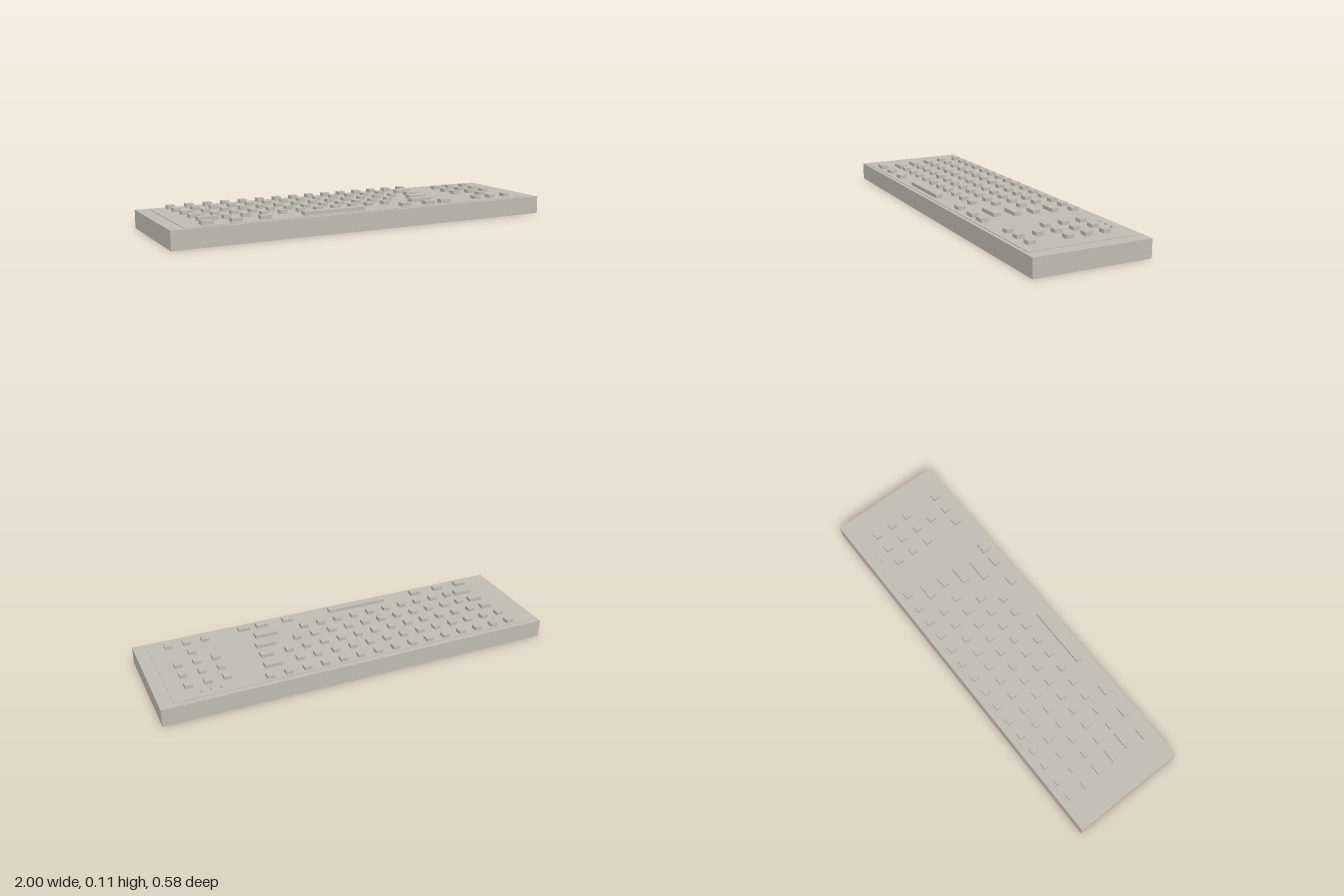
import * as THREE from 'three';

export function createModel() {
  const model = new THREE.Group();
  const beige = new THREE.MeshStandardMaterial({ color: 0xc0bdb2 });
  beige.name = 'warm grey plastic';

  const PITCH = 0.0933, KEY = 0.037, PLATE_TOP = 0.093, KEY_TOP = 0.111;

  // Axis-aligned box from its centre (x, z), sizes and vertical range
  function block(parent, name, x, z, w, d, y0, y1) {
    const mesh = new THREE.Mesh(new THREE.BoxGeometry(w, y1 - y0, d), beige);
    mesh.position.set(x, (y0 + y1) / 2, z);
    mesh.name = name;
    parent.add(mesh);
  }
  function key(parent, x, z, w = KEY, name = 'key') {
    block(parent, name, x, z, w, KEY, PLATE_TOP, KEY_TOP);
  }
  function group(name) {
    const g = new THREE.Group();
    g.name = name;
    model.add(g);
    return g;
  }

  // Case and raised top plate
  block(model, 'case', 0, 0, 2, 0.585, 0, 0.09);
  block(model, 'topPlate', 0, 0.005, 1.87, 0.54, 0.088, PLATE_TOP);

  // Main rows: evenly spaced keys, wide first key, then a wide last key [x, width]
  const rows = [
    { z: -0.234, x: -0.84, count: 15, first: KEY },
    { z: -0.141, x: -0.84, count: 13, first: KEY, last: [0.419, 0.086] },
    { z: -0.047, x: -0.818, count: 13, first: 0.059, last: [0.417, 0.065] },
    { z: 0.047, x: -0.805, count: 12, first: 0.071, last: [0.391, 0.1] },
    { z: 0.14, x: -0.784, count: 11, first: 0.096, last: [0.354, 0.12] },
  ];
  const mainKeys = group('mainKeys');
  for (const { z, x, count, first, last } of rows) {
    for (let i = 0; i < count; i++) key(mainKeys, x + i * PITCH, z, i === 0 ? first : KEY);
    if (last) key(mainKeys, last[0], z, last[1], 'wideKey');
  }

  // Bottom row with the space bar
  const bottomRow = group('bottomRow');
  const bottom = [[-0.818, 0.059], [-0.68, 0.052], [-0.538, 0.055], [0.208, 0.05], [0.348, 0.056], [0.442, 0.059]];
  for (const [x, w] of bottom) key(bottomRow, x, 0.234, w);
  key(bottomRow, -0.187, 0.234, 0.32, 'spaceBar');

  // Right-hand cluster; the fourth row has only the upper arrow key
  const sideKeys = group('sideKeys');
  for (let r = 0; r < 5; r++) {
    for (let c = 0; c < 3; c++) {
      if (r === 3 && c !== 1) continue;
      key(sideKeys, 0.652 + c * PITCH, -0.16 + r * 0.0935);
    }
  }

  // Indicator lights
  const lights = group('indicatorLights');
  for (let i = 0; i < 3; i++) block(lights, 'light', 0.702 + i * 0.047, -0.228, 0.009, 0.009, PLATE_TOP, 0.102);

  return model;
}
